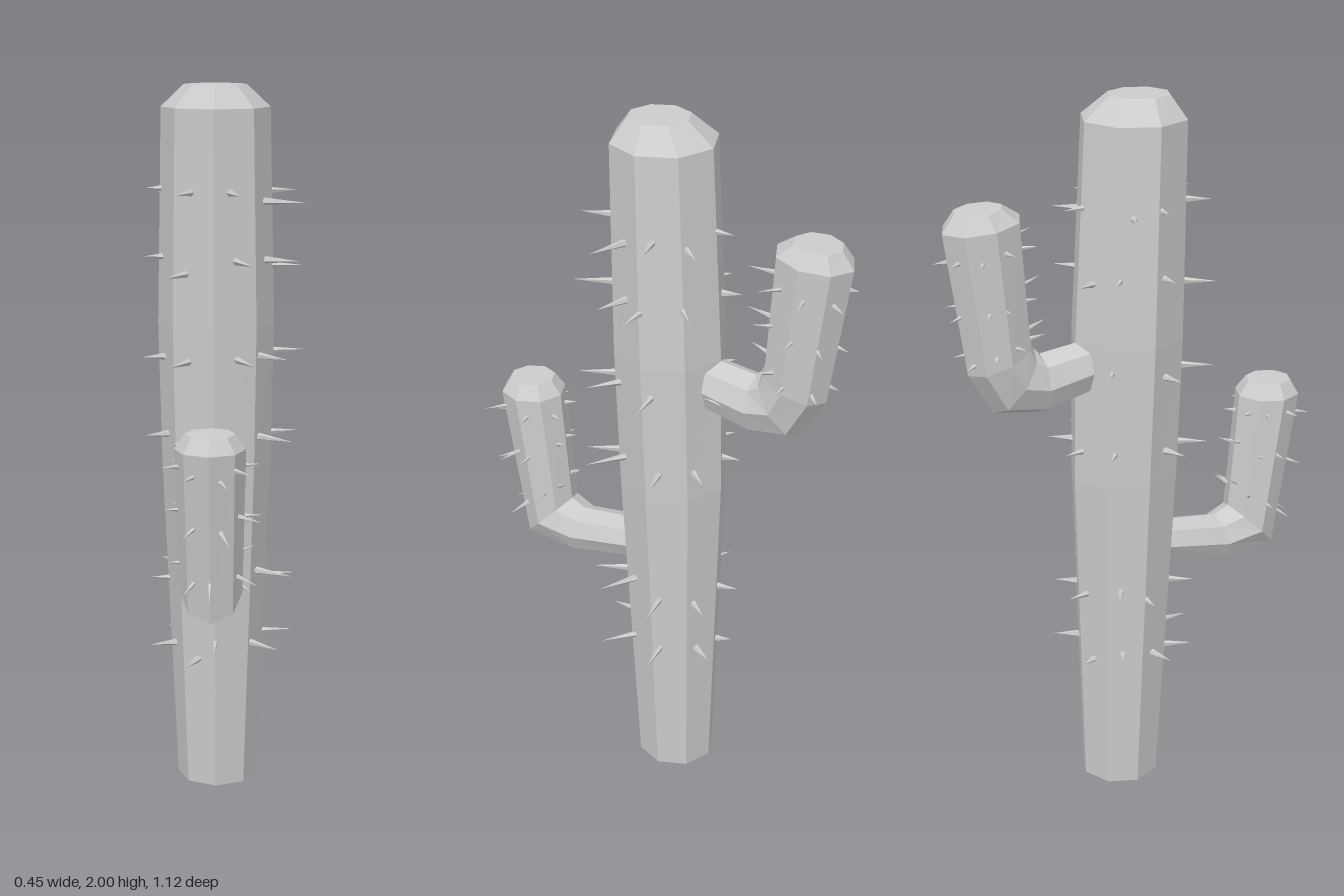
import * as THREE from 'three';
import { mergeGeometries } from 'three/addons/utils/BufferGeometryUtils.js';

const SIDES = 8;
const AXIS_X = -0.018;

// Each ring: [zA, yA, zB, yB, halfWidth]; A and B are opposite corners, A towards +z.
const TRUNK = [
  [0.075, 0, -0.15, 0, 0.113],
  [0.13, 0.95, -0.175, 0.95, 0.153],
  [0.145, 1.35, -0.168, 1.35, 0.161],
  [0.155, 1.94, -0.135, 1.94, 0.148],
  [0.11, 2, -0.06, 2, 0.085],
];
const FRONT_ARM = [
  [0.07, 0.655, 0.08, 0.77, 0.068],
  [0.30, 0.605, 0.28, 0.745, 0.07],
  [0.46, 0.63, 0.325, 0.765, 0.083],
  [0.54, 1.10, 0.355, 1.10, 0.093],
  [0.515, 1.14, 0.385, 1.14, 0.065],
];
const BACK_ARM = [
  [-0.145, 1.35, -0.15, 1.20, 0.07],
  [-0.275, 1.335, -0.28, 1.17, 0.073],
  [-0.292, 1.352, -0.414, 1.19, 0.08],
  [-0.302, 1.38, -0.483, 1.307, 0.085],
  [-0.324, 1.722, -0.541, 1.695, 0.096],
  [-0.375, 1.755, -0.507, 1.742, 0.065],
];

const ringCentre = ([zA, yA, zB, yB]) => new THREE.Vector3(AXIS_X, (yA + yB) / 2, (zA + zB) / 2);

function ringPoint(ring, angle) {
  const [zA, yA, zB, yB, w] = ring;
  const c = Math.cos(angle) / 2;
  return ringCentre(ring).add(
    new THREE.Vector3(Math.sin(angle) * w, c * (yA - yB), c * (zA - zB)));
}

// Faceted skin through the rings, closed at both ends
function loft(rings) {
  const pos = [], index = [];
  for (const ring of rings)
    for (let j = 0; j < SIDES; j++)
      pos.push(...ringPoint(ring, j / SIDES * Math.PI * 2).toArray());
  for (let i = 0; i < rings.length - 1; i++)
    for (let j = 0; j < SIDES; j++) {
      const k = (j + 1) % SIDES, a = i * SIDES, b = a + SIDES;
      index.push(a + j, a + k, b + k, a + j, b + k, b + j);
    }
  const top = (rings.length - 1) * SIDES;
  for (let j = 1; j < SIDES - 1; j++)
    index.push(0, j + 1, j, top, top + j, top + j + 1);
  const g = new THREE.BufferGeometry();
  g.setAttribute('position', new THREE.Float32BufferAttribute(pos, 3));
  g.setIndex(index);
  const flat = g.toNonIndexed();
  flat.computeVertexNormals();
  return flat;
}

function seeded(seed) {
  return () => {
    seed = (seed * 16807) % 2147483647;
    return seed / 2147483647;
  };
}

// Rows of thin cones pointing away from the axis; rows are [ring number, fraction to next ring]
function spines(rings, rows, count, length, radius, seed) {
  const rand = seeded(seed), up = new THREE.Vector3(0, 1, 0), list = [];
  for (const [i, t] of rows)
    for (let j = 0; j < count; j++) {
      const angle = (j + 0.3 + (rand() - 0.5) * 0.6) / count * Math.PI * 2;
      const s = THREE.MathUtils.clamp(t + (rand() - 0.5) * 0.07, 0, 1);
      const p = ringPoint(rings[i], angle).lerp(ringPoint(rings[i + 1], angle), s);
      const c = ringCentre(rings[i]).lerp(ringCentre(rings[i + 1]), s);
      const dir = p.clone().sub(c).normalize();
      // Spines grow longest on the front left
      const len = length * (1 + 0.25 * (dir.x + dir.z) + 0.3 * (rand() - 0.5));
      const cone = new THREE.ConeGeometry(radius, len, 5);
      cone.translate(0, len / 2, 0);
      cone.applyQuaternion(new THREE.Quaternion().setFromUnitVectors(up, dir));
      p.addScaledVector(dir, -length * 0.2);
      cone.translate(p.x, p.y, p.z);
      list.push(cone);
    }
  return mergeGeometries(list);
}

export function createModel() {
  const group = new THREE.Group();
  const material = new THREE.MeshStandardMaterial({ color: 0xcccccc, flatShading: true });
  const add = (name, geometry) => {
    const mesh = new THREE.Mesh(geometry, material);
    mesh.name = name;
    group.add(mesh);
  };

  // Trunk and its spines
  add('trunk', loft(TRUNK));
  add('trunkSpines', spines(TRUNK,
    [[0, 0.44], [0, 0.65], [1, 0.22], [1, 0.8], [2, 0.29], [2, 0.6]], 8, 0.085, 0.011, 7));

  // Low arm at the front
  add('frontArm', loft(FRONT_ARM));
  add('frontArmSpines', spines(FRONT_ARM, [[2, 0.22], [2, 0.57], [2, 0.87]], 8, 0.05, 0.007, 21));

  // High arm at the back
  add('backArm', loft(BACK_ARM));
  add('backArmSpines', spines(BACK_ARM, [[3, 0.08], [3, 0.42], [3, 0.8]], 8, 0.05, 0.007, 43));

  return group;
}
